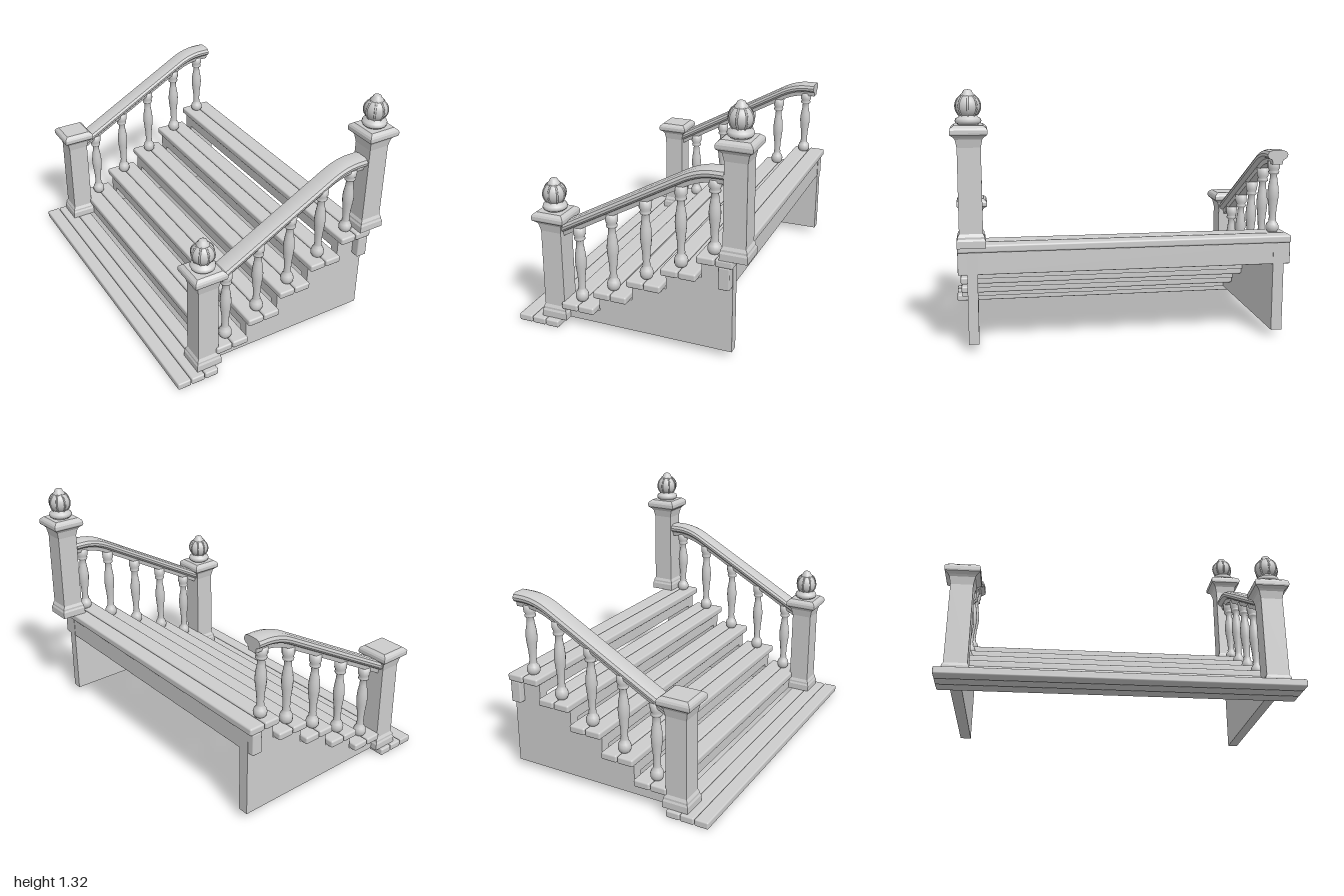
import * as THREE from 'three';
import { toCreasedNormals } from 'three/addons/utils/BufferGeometryUtils.js';
import { RoundedBoxGeometry } from 'three/addons/geometries/RoundedBoxGeometry.js';

const grey = new THREE.MeshStandardMaterial({ color: 0xcccccc });
grey.name = 'plain grey';

const RUN = 0.188, RISE = 0.1025, STEPS = 5;
const NOSE = -0.385, BACK = 0.54;      // front of first tread, back of staircase
const Z0 = -0.89, Z1 = 0.833;          // tread ends
const RAIL_Z = [0.762, -0.822];        // left and right balustrade lines
const treadTop = (i) => 0.14 + RISE * i;

function add(parent, name, geometry, x = 0, y = 0, z = 0) {
  const mesh = new THREE.Mesh(geometry, grey);
  mesh.name = name;
  mesh.position.set(x, y, z);
  parent.add(mesh);
  return mesh;
}

// Board spanning x0..x1, y0..y1, z0..z1 with eased edges
function board(parent, name, x0, x1, y0, y1, z0, z1, r = 0.01) {
  const g = r ? new RoundedBoxGeometry(x1 - x0, y1 - y0, z1 - z0, 2, r)
    : new THREE.BoxGeometry(x1 - x0, y1 - y0, z1 - z0);
  add(parent, name, g, (x0 + x1) / 2, (y0 + y1) / 2, (z0 + z1) / 2);
}

const lathe = (pts, sides) =>
  new THREE.LatheGeometry(pts.map(([r, y]) => new THREE.Vector2(r, y)), sides);

// Square newel post from [half width, height] pairs
function post(parent, name, x, y, z, finial) {
  const g = new THREE.Group();
  g.name = name;
  g.position.set(x, y, z);
  const profile = [[0, 0], [0.071, 0], [0.071, 0.035], [0.066, 0.045], [0.066, 0.055], [0.058, 0.07],
    [0.057, 0.49], [0.065, 0.53], [0.072, 0.54], [0.088, 0.552], [0.09, 0.56], [0.09, 0.575],
    [0.085, 0.585], [0.07, 0.597], [0, 0.597]].map(([w, h]) => [w * Math.SQRT2, h]);
  const shaft = lathe(profile, 4).rotateY(Math.PI / 4).toNonIndexed();
  shaft.computeVertexNormals();
  add(g, 'postShaft', shaft);
  if (finial) {
    const base = [[0.05, 0], [0.05, 0.006], [0.06, 0.012], [0.064, 0.022], [0.06, 0.034], [0.045, 0.042], [0.04, 0.05]];
    add(g, 'finialCollar', lathe(base, 20), 0, 0.593, 0);
    add(g, 'finialBall', new THREE.SphereGeometry(0.06, 20, 14), 0, 0.685, 0);
    for (let i = 0; i < 4; i++) {
      const rib = new THREE.TorusGeometry(0.059, 0.005, 6, 28).rotateY((i * Math.PI) / 4);
      add(g, 'finialRib', rib, 0, 0.685, 0);
    }
    const knob = [[0.034, 0], [0.034, 0.012], [0.025, 0.02], [0.02, 0.032], [0.013, 0.036], [0, 0.037]];
    add(g, 'finialKnob', lathe(knob, 12), 0, 0.728, 0);
  }
  parent.add(g);
}

// Height of the handrail top: a slope easing into a level end
function railTop(x) {
  const slope = 0.61 + 0.555 * (x + 0.317), level = 0.99, k = 0.045;
  const h = Math.max(k - Math.abs(slope - level), 0) / k;
  return Math.min(slope, level) - h * h * k * 0.25;
}

function handrail(parent, z) {
  const half = [[0.025, -0.075], [0.03, -0.05], [0.042, -0.046], [0.053, -0.036], [0.055, -0.022], [0.047, -0.007], [0.027, 0]];
  const outline = [...half, ...half.map(([a, b]) => [-a, b]).reverse()];
  const shape = new THREE.Shape(outline.map(([a, b]) => new THREE.Vector2(a, b)));
  const x0 = -0.39, x1 = 0.495;
  const g = new THREE.ExtrudeGeometry(shape, { depth: x1 - x0, steps: 36, bevelEnabled: false });
  g.rotateY(Math.PI / 2).translate(x0, 0, 0);
  const p = g.attributes.position;
  for (let i = 0; i < p.count; i++) p.setY(i, p.getY(i) + railTop(p.getX(i)));
  add(parent, 'handrail', toCreasedNormals(g, 0.6), 0, 0, z);
}

// Turned baluster; profile heights are fractions of its length
function baluster(parent, x, y, z) {
  const length = railTop(x) - 0.062 - y;
  const profile = [[0, 0], [0.026, 0], [0.034, 0.035], [0.035, 0.075], [0.03, 0.115], [0.019, 0.15], [0.021, 0.17],
    [0.018, 0.2], [0.021, 0.33], [0.028, 0.47], [0.03, 0.55], [0.027, 0.64], [0.02, 0.74], [0.018, 0.81],
    [0.028, 0.83], [0.029, 0.85], [0.024, 0.87], [0.032, 0.9], [0.033, 1], [0, 1]];
  add(parent, 'baluster', lathe(profile.map(([r, h]) => [r, h * length]), 16), x, y, z);
}

// Solid side board with a stepped upper edge
function stringer(parent, z0, z1) {
  const s = new THREE.Shape();
  s.moveTo(NOSE + 0.012, 0.037);
  for (let i = 0; i < STEPS; i++) {
    const y = treadTop(i) - 0.03;
    s.lineTo(NOSE + 0.012 + RUN * i, y);
    s.lineTo(i < STEPS - 1 ? NOSE + 0.012 + RUN * (i + 1) : BACK, y);
  }
  s.lineTo(BACK, 0.037);
  const g = new THREE.ExtrudeGeometry(s, { depth: z1 - z0, bevelEnabled: false });
  add(parent, 'stringer', g, 0, 0, z0);
}

export function createModel() {
  const model = new THREE.Group();
  model.name = 'staircase';
  const stairs = new THREE.Group();
  stairs.name = 'turnedStaircase';
  stairs.rotation.y = 0.272;
  model.add(stairs);

  // Ground boards
  for (let i = 0; i < 3; i++) {
    const x = -0.628 + i * 0.079;
    board(stairs, 'groundBoard', x, x + 0.075, 0, 0.038, -0.912, 0.863, 0.008);
  }

  // Treads of two boards each, with risers below
  for (let i = 0; i < STEPS; i++) {
    const x = NOSE + RUN * i, y = treadTop(i), w = 0.091;
    board(stairs, 'treadFront', x, x + w, y - 0.04, y, Z0, Z1);
    board(stairs, 'treadBack', x + w + 0.004, x + 2 * w + 0.004, y - 0.04, y, Z0, Z1);
    board(stairs, 'riser', x + 0.012, x + 0.03, y - RISE, y - 0.035, -0.84, 0.77, 0);
  }

  // Side boards and rear fascia
  stringer(stairs, 0.735, 0.787);
  stringer(stairs, -0.855, -0.797);
  board(stairs, 'fascia', 0.48, 0.538, 0.395, 0.512, Z0, Z1, 0.006);

  // Balustrades
  for (const z of RAIL_Z) {
    handrail(stairs, z);
    for (let i = 0; i < STEPS; i++) {
      const x = i < 4 ? -0.298 + 0.187 * i : 0.436;
      baluster(stairs, x, treadTop(i), z);
    }
  }

  // Newel posts
  post(stairs, 'lowerLeftPost', -0.431, 0.037, RAIL_Z[0], true);
  post(stairs, 'upperLeftPost', 0.555, 0.55, RAIL_Z[0], true);
  post(stairs, 'lowerRightPost', -0.437, 0.037, RAIL_Z[1], false);
  return model;
}
